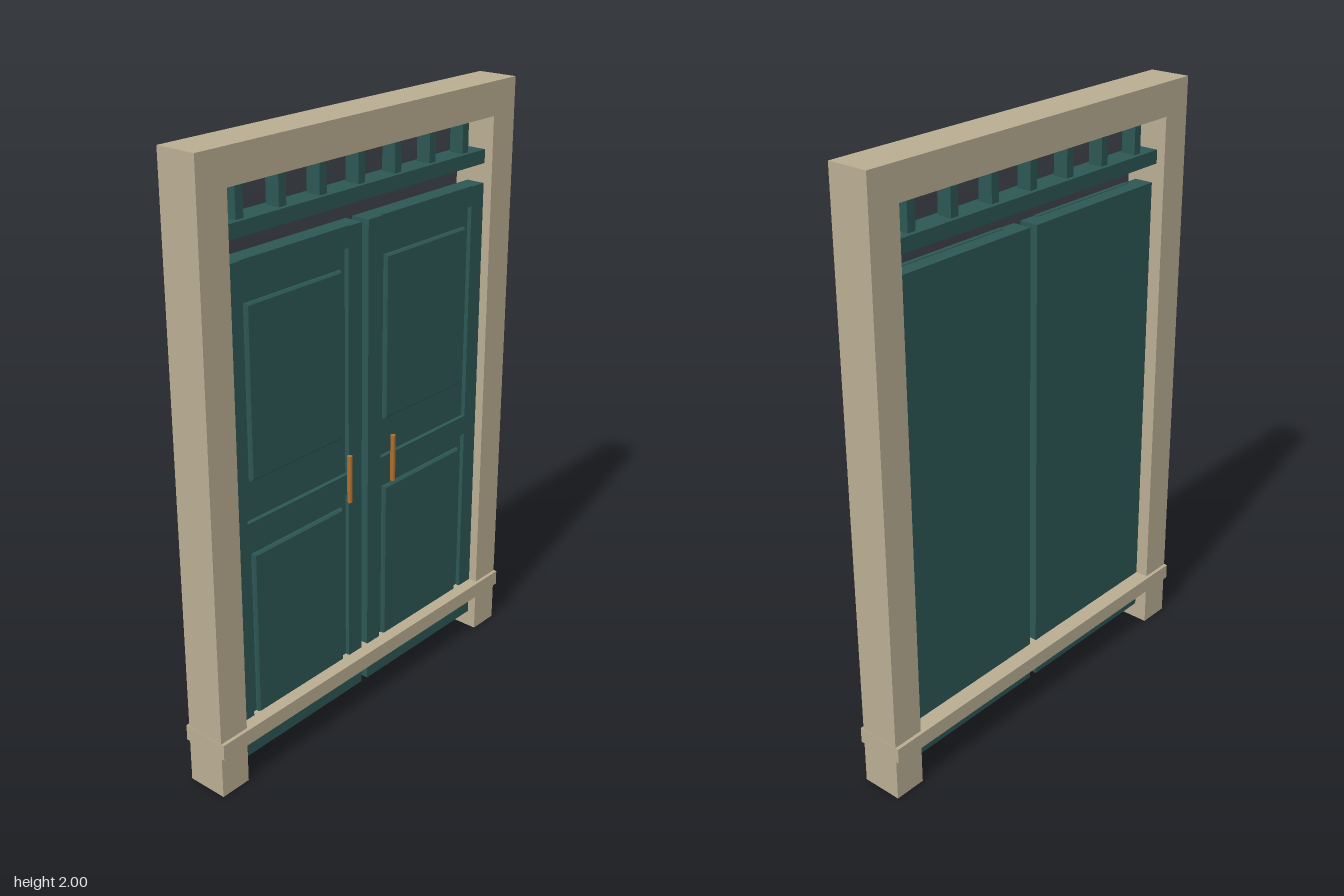
import * as THREE from 'three';

export function createModel() {
  const model = new THREE.Group();
  model.name = 'doubleDoor';

  const stone = new THREE.MeshStandardMaterial({ color: 0xbaad92 });
  stone.name = 'sandStone';
  const paint = new THREE.MeshStandardMaterial({ color: 0x2d5754 });
  paint.name = 'tealPaint';
  const copper = new THREE.MeshStandardMaterial({ color: 0xb4712d });
  copper.name = 'copper';

  // Box given by its extents on each axis
  function box(parent, name, material, [x0, x1], [y0, y1], [z0, z1]) {
    const mesh = new THREE.Mesh(new THREE.BoxGeometry(x1 - x0, y1 - y0, z1 - z0), material);
    mesh.position.set((x0 + x1) / 2, (y0 + y1) / 2, (z0 + z1) / 2);
    mesh.name = name;
    parent.add(mesh);
  }

  // Raised panel with a small chamfer around its front
  function panel(parent, name, [x0, x1], [y0, y1], zBase, depth) {
    const b = 0.006;
    const shape = new THREE.Shape([
      new THREE.Vector2(x0 + b, y0 + b), new THREE.Vector2(x1 - b, y0 + b),
      new THREE.Vector2(x1 - b, y1 - b), new THREE.Vector2(x0 + b, y1 - b),
    ]);
    const geometry = new THREE.ExtrudeGeometry(shape, {
      depth: depth - b, bevelEnabled: true, bevelSize: b, bevelThickness: b, bevelSegments: 1,
    });
    const mesh = new THREE.Mesh(geometry, paint);
    mesh.position.z = zBase;
    mesh.name = name;
    parent.add(mesh);
  }

  // Stone frame
  box(model, 'rightPost', stone, [-0.7, -0.59], [0, 2], [-0.07, 0.07]);
  box(model, 'leftPost', stone, [0.59, 0.7], [0, 2], [-0.07, 0.07]);
  box(model, 'lintel', stone, [-0.59, 0.59], [1.89, 2], [-0.07, 0.07]);
  box(model, 'crossBar', stone, [-0.701, 0.701], [0.143, 0.196], [-0.082, 0.082]);

  // Transom bar with its row of spindles
  box(model, 'transomBar', paint, [-0.59, 0.59], [1.735, 1.78], [-0.04, 0.04]);
  for (let i = -3; i <= 3; i++) {
    const x = i * 0.168;
    box(model, 'spindle', paint, [x - 0.015, x + 0.015], [1.78, 1.89], [-0.025, 0.025]);
  }

  // Two door leaves, each with stiles, rails, raised panels and a handle
  for (const side of [-1, 1]) {
    const leaf = new THREE.Group();
    leaf.name = side > 0 ? 'leftDoor' : 'rightDoor';
    const span = (a, b) => (side > 0 ? [a, b] : [-b, -a]);
    const front = [0.025, 0.04];

    box(leaf, 'slab', paint, span(0.015, 0.589), [0.06, 1.67], [-0.025, 0.025]);
    box(leaf, 'innerStile', paint, span(0.015, 0.077), [0.06, 1.67], front);
    box(leaf, 'outerStile', paint, span(0.527, 0.589), [0.06, 1.67], front);
    for (const y of [0.06, 0.8, 1.605]) {
      box(leaf, 'rail', paint, span(0.077, 0.527), [y, y + 0.067], front);
    }
    panel(leaf, 'upperPanel', span(0.102, 0.502), [0.995, 1.54], 0.025, 0.014);
    panel(leaf, 'lowerPanel', span(0.102, 0.502), [0.17, 0.753], 0.025, 0.014);

    const handle = new THREE.Mesh(new THREE.CylinderGeometry(0.009, 0.009, 0.16, 6), copper);
    handle.position.set(side * 0.105, 0.868, 0.069);
    handle.name = 'handle';
    leaf.add(handle);
    model.add(leaf);
  }

  return model;
}
